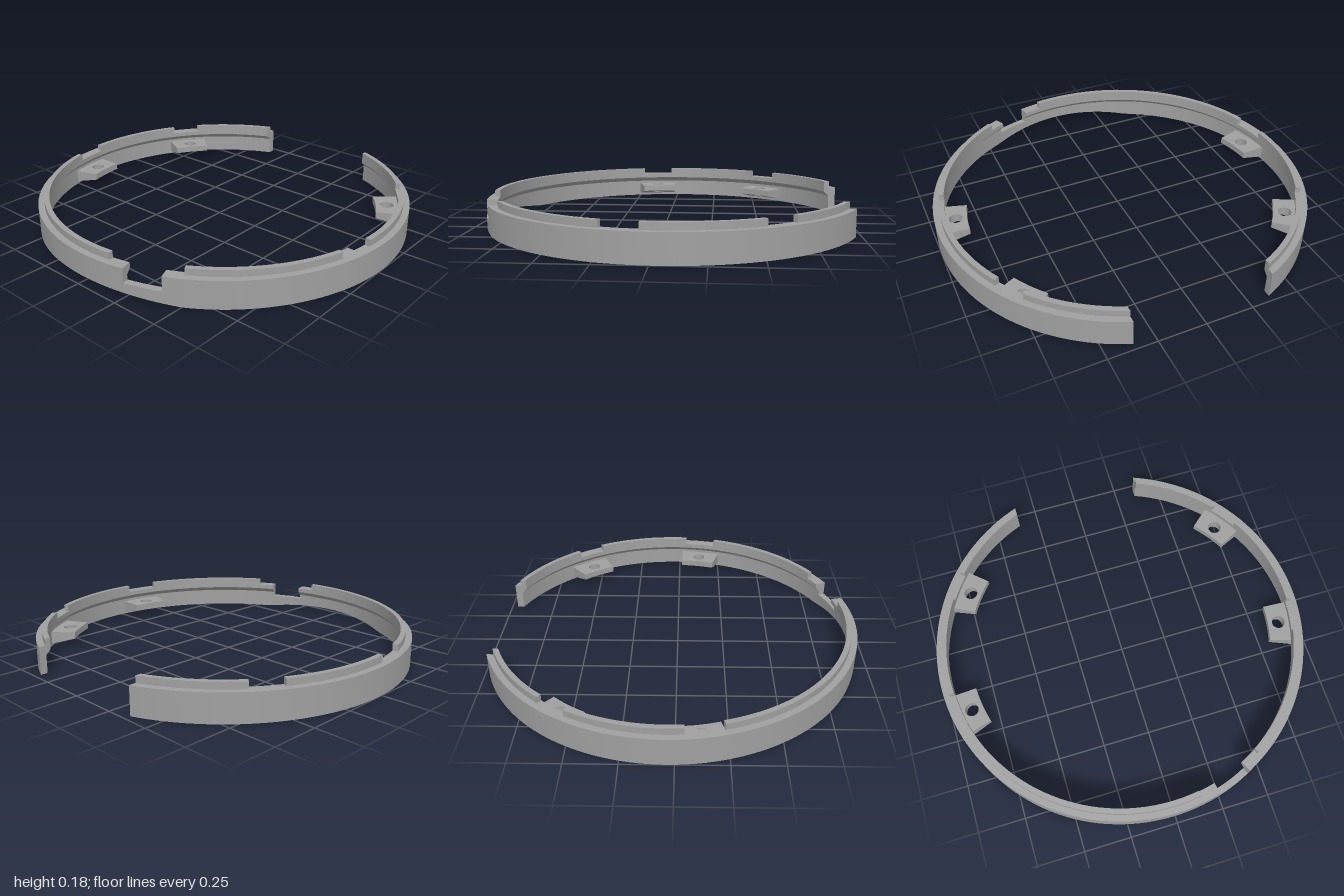
import * as THREE from 'three';
import { toCreasedNormals } from 'three/addons/utils/BufferGeometryUtils.js';

const RAD = Math.PI / 180;
const OPEN_Z = 0.36; // half width of the flat-cut opening
const CX = 0.035; // ring axis
const start = (r) => Math.asin(OPEN_Z / r);
const end = (r) => 2 * Math.PI - start(r);
const at = (deg) => () => deg * RAD;

// Sweep a counter-clockwise (radius, height) section between two angles, with capped ends
function sweep(section, from, to) {
  const n = Math.max(3, Math.ceil((to(1) - from(1)) / (2.5 * RAD)));
  const rings = [];
  for (let i = 0; i <= n; i++) {
    rings.push(section.map(([r, y]) => {
      const a = from(r) + (to(r) - from(r)) * (i / n);
      const x = r * Math.cos(a) + CX;
      // underside rises gently on the side facing away from the opening
      const rise = Math.max(0, -0.83 - x) * (r < 0.98 ? 0.35 : 0.17);
      return [x, y === 0 ? rise : y, r * Math.sin(a)];
    }));
  }
  const pos = [];
  const tri = (a, b, c) => pos.push(...a, ...b, ...c);
  const m = section.length;
  for (let i = 0; i < n; i++) {
    for (let j = 0; j < m; j++) {
      const k = (j + 1) % m;
      const [a, b, c, d] = [rings[i][j], rings[i][k], rings[i + 1][k], rings[i + 1][j]];
      tri(a, b, c);
      tri(a, c, d);
    }
  }
  const faces = THREE.ShapeUtils.triangulateShape(section.map(([r, y]) => new THREE.Vector2(r, y)), []);
  for (const [a, b, c] of faces) {
    tri(rings[0][a], rings[0][c], rings[0][b]);
    tri(rings[n][a], rings[n][b], rings[n][c]);
  }
  const g = new THREE.BufferGeometry();
  g.setAttribute('position', new THREE.Float32BufferAttribute(pos, 3));
  return toCreasedNormals(g, 25 * RAD);
}

// Screw tab: ring sector with a hole, its underside sloping down to the wall
function tabGeometry(deg) {
  const mid = deg * RAD, half = 6.9 * RAD, inner = 0.832, outer = 0.97;
  const shape = new THREE.Shape();
  shape.absarc(0, 0, outer, mid - half, mid + half, false);
  shape.absarc(0, 0, inner, mid + half, mid - half, true);
  shape.closePath();
  const hole = new THREE.Path();
  hole.absarc(0.892 * Math.cos(mid), 0.892 * Math.sin(mid), 0.036, 0, 2 * Math.PI, true);
  shape.holes.push(hole);
  const g = new THREE.ExtrudeGeometry(shape, { depth: 0.07, bevelEnabled: false, curveSegments: 20 });
  g.rotateX(Math.PI / 2).translate(0, 0.08, 0);
  const p = g.attributes.position;
  for (let i = 0; i < p.count; i++) {
    if (p.getY(i) > 0.04) continue;
    const t = (outer - Math.hypot(p.getX(i), p.getZ(i))) / (outer - inner);
    p.setY(i, 0.012 + 0.033 * t);
  }
  g.translate(CX, 0, 0);
  return toCreasedNormals(g, 25 * RAD);
}

export function createModel() {
  const model = new THREE.Group();
  model.name = 'openRing';
  const grey = new THREE.MeshStandardMaterial({ color: 0xa0a0a0 });
  grey.name = 'grey';
  const add = (name, geometry) => {
    const mesh = new THREE.Mesh(geometry, grey);
    mesh.name = name;
    model.add(mesh);
  };

  // Main wall with an inner ledge, and the low wall of the side notch
  const wall = [[1, 0], [1, 0.145], [0.94, 0.145], [0.94, 0.12], [0.965, 0.095], [0.965, 0]];
  const lowWall = [[1, 0], [1, 0.07], [0.965, 0.07], [0.965, 0]];
  add('frontWall', sweep(wall, start, at(155)));
  add('notchWall', sweep(lowWall, at(155), at(166)));
  add('backWall', sweep(wall, at(166), end));

  // Raised lip, broken above each tab and around the side notch
  const lip = [[0.967, 0.145], [0.967, 0.18], [0.94, 0.18], [0.94, 0.145]];
  const spans = [
    [start, at(51.3)], [at(60.9), at(94.7)], [at(105.6), at(149.5)],
    [at(171.7), at(254.4)], [at(265.3), at(299.1)], [at(308.7), end],
  ];
  spans.forEach(([a, b], i) => add('lip' + (i + 1), sweep(lip, a, b)));

  // Four screw tabs, mirrored front to back
  for (const deg of [55.2, 100.3]) {
    add('frontTab', tabGeometry(deg));
    add('backTab', tabGeometry(-deg));
  }
  return model;
}
